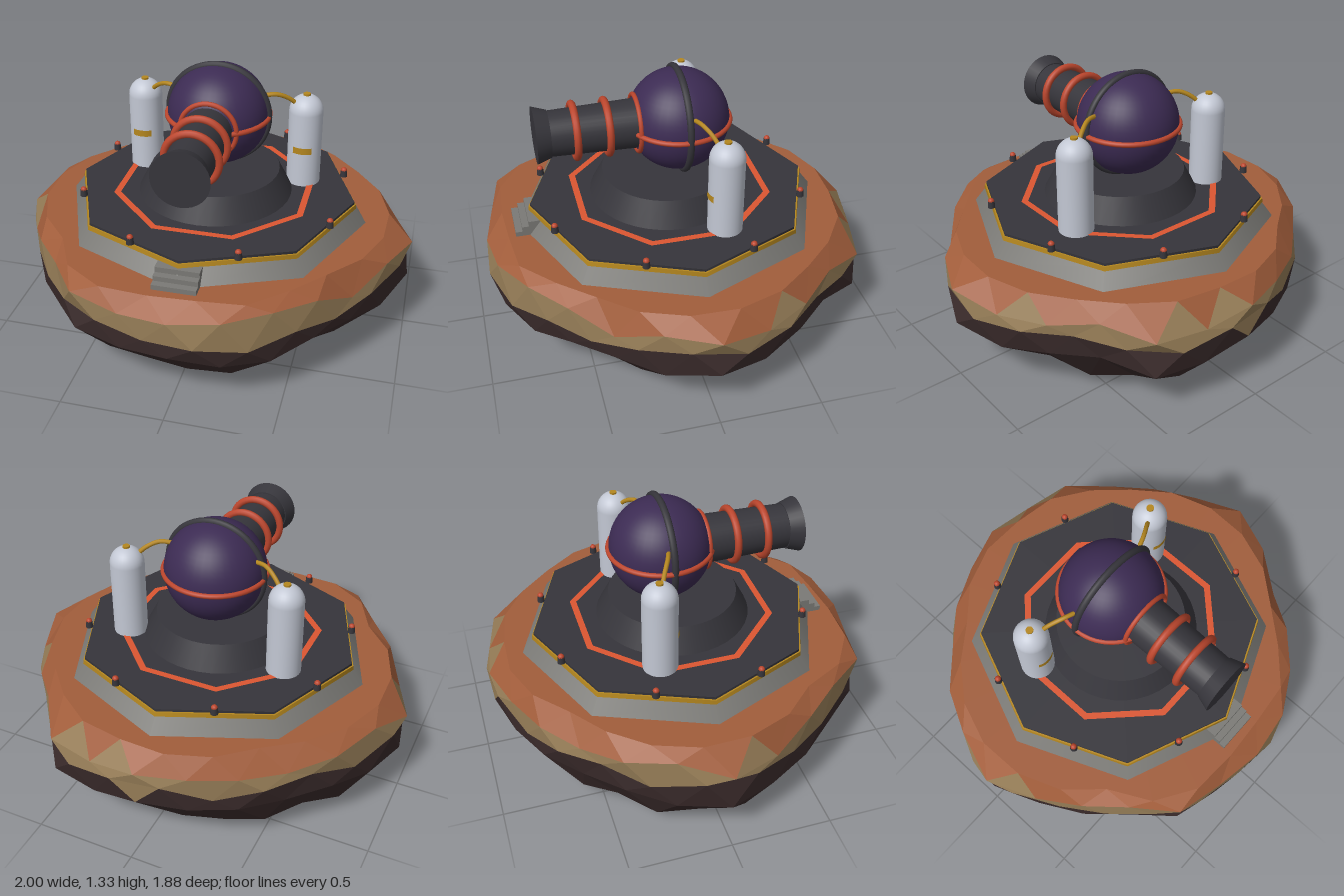
import * as THREE from 'three';

const mat = (name, color) => {
  const m = new THREE.MeshStandardMaterial({ color });
  m.name = name;
  return m;
};

export function createModel() {
  const M = {
    clay: mat('clay orange', 0xa15d3b),
    sand: mat('sand', 0x967d57),
    basalt: mat('dark rock', 0x3a2b2b),
    concrete: mat('concrete grey', 0x7b7a76),
    iron: mat('dark iron', 0x36353b),
    purple: mat('purple shell', 0x3c2b53),
    coil: mat('coil red', 0xbc462d),
    paint: mat('signal orange', 0xdb5631),
    tank: mat('pale tank', 0xc3c8d4),
    brass: mat('brass yellow', 0xb5871f),
  };
  const model = new THREE.Group();
  const add = (name, geo, material, x = 0, y = 0, z = 0, parent = model) => {
    const mesh = new THREE.Mesh(geo, material);
    mesh.name = name;
    mesh.position.set(x, y, z);
    parent.add(mesh);
    return mesh;
  };

  // Rock: staggered faceted rings; every facet takes the stratum colour of its height
  let seed = 29;
  const rand = () => {
    seed = (seed * 16807) % 2147483647;
    return seed / 2147483647 - 0.5;
  };
  const outline = [0.93, 0.93, 0.90, 0.88, 0.88, 0.93, 1.0, 0.95, 0.92, 0.90, 0.98, 0.94,
    0.94, 0.90, 0.89, 0.88, 0.92, 0.94, 1.0, 0.93, 0.90, 0.89, 0.96, 0.92];
  const N = outline.length;
  // height, radius factor, height jitter, radius jitter, sideways offset
  const rows = [
    [0.565, 0.925, 0, 0.06, 0], [0.475, 1.0, 0.11, 0, 0], [0.385, 1.005, 0.08, 0.03, 0],
    [0.27, 0.99, 0.07, 0.02, 0], [0.11, 0.84, 0.06, 0.06, -0.05], [0, 0.6, 0, 0.06, -0.08],
  ].map(([y, f, dy, dr, dx], j) => outline.map((r0, i) => {
    const shift = j % 2 ? 0 : 0.5;
    const r = (shift ? (r0 + outline[(i + 1) % N]) / 2 : r0) * (f + dr * rand());
    const a = ((i + shift) / N) * Math.PI * 2;
    return [r * Math.sin(a) + dx, y + dy * rand(), r * Math.cos(a)];
  }));
  const strata = { clay: [], sand: [], basalt: [] };
  const facet = (a, b, c) => {
    const y = (a[1] + b[1] + c[1]) / 3;
    strata[y > 0.494 ? 'clay' : y > 0.375 ? 'sand' : 'basalt'].push(...a, ...b, ...c);
  };
  for (let i = 0; i < N; i++) {
    const k = (i + 1) % N;
    facet([0, 0.565, 0], rows[0][i], rows[0][k]);
    for (let j = 0; j < 5; j++) {
      const T = rows[j], B = rows[j + 1];
      if (j % 2) {
        facet(T[i], B[i], T[k]);
        facet(B[i], B[k], T[k]);
      } else {
        facet(T[i], B[i], B[k]);
        facet(T[i], B[k], T[k]);
      }
    }
    facet([0, 0, 0], rows[5][k], rows[5][i]);
  }
  const rockLayer = (name, key) => {
    const g = new THREE.BufferGeometry();
    g.setAttribute('position', new THREE.Float32BufferAttribute(strata[key], 3));
    g.computeVertexNormals();
    add(name, g, M[key]);
  };
  rockLayer('rockTopLayer', 'clay');
  rockLayer('rockMiddleLayer', 'sand');
  rockLayer('rockBase', 'basalt');

  // Octagonal platform: concrete foundation, brass trim, iron deck
  const octagon = (name, rTop, rBottom, y0, y1, material) =>
    add(name, new THREE.CylinderGeometry(rTop, rBottom, y1 - y0, 8), material, 0, (y0 + y1) / 2, 0);
  octagon('foundation', 0.7, 0.775, 0.55, 0.65, M.concrete);
  octagon('brassTrim', 0.709, 0.712, 0.64, 0.662, M.brass);
  octagon('deck', 0.701, 0.701, 0.65, 0.675, M.iron);

  // Painted octagonal line on the deck
  const line = new THREE.RingGeometry(0.482, 0.516, 8, 1, Math.PI / 8);
  line.rotateX(-Math.PI / 2);
  add('deckLine', line, M.paint, 0, 0.679, 0);

  // Front steps
  [[0.79, 0.59], [0.757, 0.615], [0.724, 0.642]].forEach(([zFront, top]) =>
    add('step', new THREE.BoxGeometry(0.21, top - 0.55, zFront - 0.62), M.concrete,
      0, (top + 0.55) / 2, (zFront + 0.62) / 2));

  // Marker lamps at the middle of each deck edge
  for (let i = 0; i < 8; i++) {
    const a = ((i + 0.5) / 8) * Math.PI * 2;
    const x = 0.665 * Math.sin(a), z = 0.665 * Math.cos(a);
    add('lampPost', new THREE.CylinderGeometry(0.016, 0.019, 0.035, 10), M.iron, x, 0.69, z);
    add('lampBulb', new THREE.SphereGeometry(0.016, 10, 8), M.coil, x, 0.706, z);
  }

  // Pedestal and spherical turret
  add('pedestal', new THREE.CylinderGeometry(0.32, 0.385, 0.125, 40), M.iron, 0, 0.7355, 0.01);
  const turret = new THREE.Group();
  turret.name = 'turret';
  turret.position.set(0, 1.06, -0.05);
  model.add(turret);
  add('turretShell', new THREE.SphereGeometry(0.25, 40, 28), M.purple, 0, 0, 0, turret);
  add('turretFrame', new THREE.TorusGeometry(0.251, 0.017, 10, 56), M.iron, 0, 0, 0, turret);
  add('turretBelt', new THREE.TorusGeometry(0.252, 0.013, 10, 56), M.coil, 0, 0, 0, turret)
    .rotation.x = Math.PI / 2;

  // Barrel, flared muzzle and coils along +z
  const tubeZ = (name, rFront, rBack, z0, z1) => {
    const g = new THREE.CylinderGeometry(rFront, rBack, z1 - z0, 32);
    g.rotateX(Math.PI / 2);
    add(name, g, M.iron, 0, 1.06, (z0 + z1) / 2);
  };
  tubeZ('barrel', 0.11, 0.122, 0.1, 0.59);
  tubeZ('muzzle', 0.138, 0.115, 0.58, 0.65);
  [[0.16, 0.138, 0.012], [0.305, 0.129, 0.018], [0.46, 0.129, 0.018]].forEach(([z, r, t]) =>
    add('barrelCoil', new THREE.TorusGeometry(r, t, 10, 40), M.coil, 0, 1.06, z));

  // Side tanks with label, valve and feed pipe
  for (const s of [1, -1]) {
    const x = 0.415 * s, z = -0.175;
    add('tankBody', new THREE.CylinderGeometry(0.085, 0.085, 0.385, 28, 1), M.tank, x, 0.8675, z);
    add('tankDome', new THREE.SphereGeometry(0.085, 28, 10, 0, Math.PI * 2, 0, Math.PI / 2), M.tank, x, 1.06, z);
    add('tankValve', new THREE.CylinderGeometry(0.018, 0.018, 0.02, 12), M.brass, x, 1.142, z);
    add('tankLabel', new THREE.CylinderGeometry(0.088, 0.088, 0.034, 12, 1, true, -0.56, 1.12), M.brass, x, 0.873, z);
    const path = new THREE.CatmullRomCurve3([
      [0.39, 1.08, -0.16], [0.335, 1.137, -0.128], [0.275, 1.166, -0.095], [0.19, 1.158, -0.065],
    ].map(([px, py, pz]) => new THREE.Vector3(px * s, py, pz)));
    add('feedPipe', new THREE.TubeGeometry(path, 20, 0.011, 8), M.brass);
  }

  return model;
}
